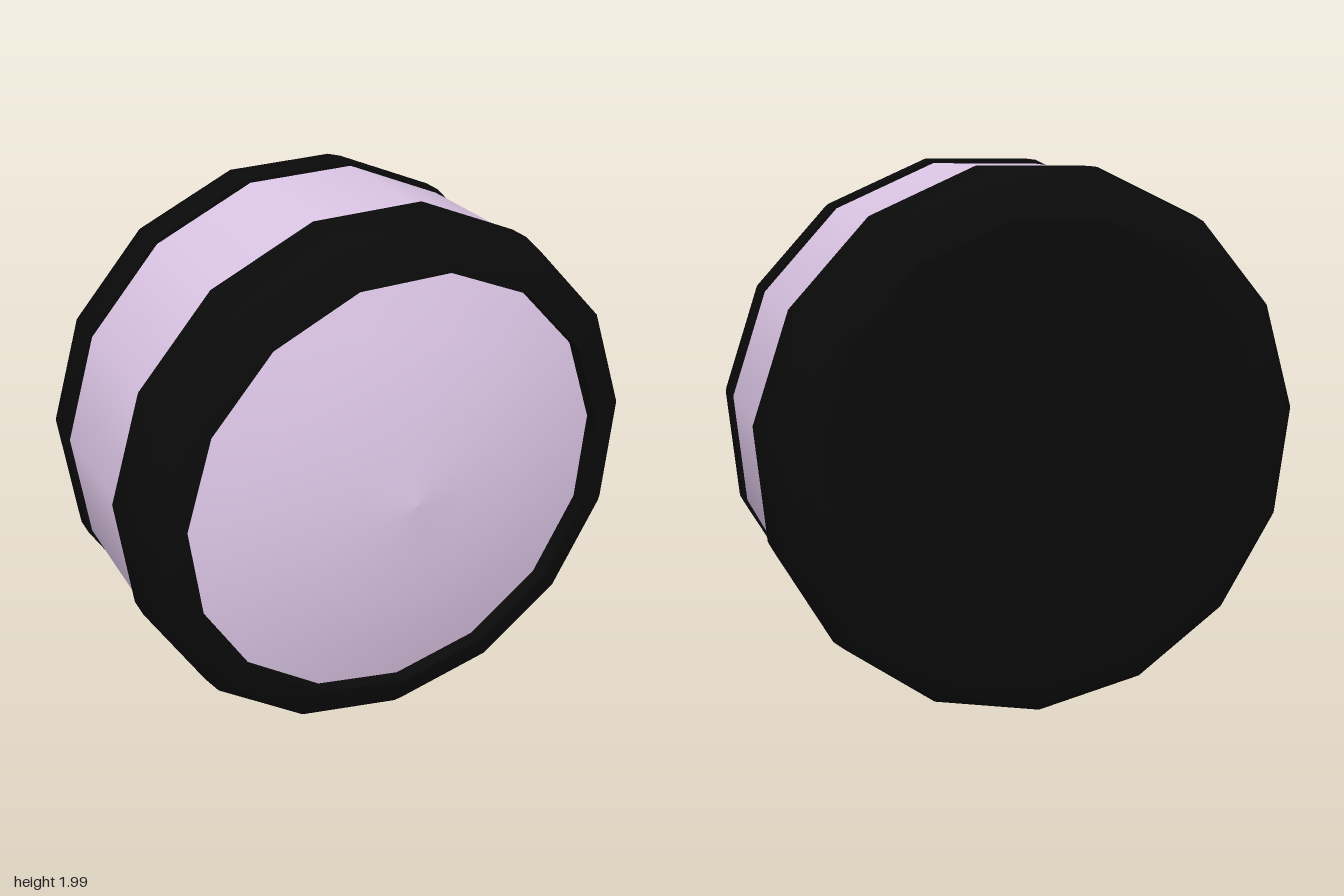
import * as THREE from 'three';

const SIDES = 15;
const RADIUS = 1.005;
const MID_Z = -0.044; // plane halfway between the two rims

// Lathe around the z axis; profile points are [radius, z] in ascending z on outer faces
function turned(name, profile, material) {
  const points = profile.map(([r, z]) => new THREE.Vector2(r, z));
  const geometry = new THREE.LatheGeometry(points, SIDES, THREE.MathUtils.degToRad(1));
  geometry.rotateX(Math.PI / 2);
  const mesh = new THREE.Mesh(geometry, material);
  mesh.name = name;
  return mesh;
}

// Same profile reflected to the other end, reversed so faces stay outward
const mirrored = (profile) => profile.map(([r, z]) => [r, 2 * MID_Z - z]).reverse();

export function createModel() {
  const model = new THREE.Group();
  model.name = 'roundButton';
  const lilac = new THREE.MeshStandardMaterial({ color: 0xdcc6e6 });
  const black = new THREE.MeshStandardMaterial({ color: 0x0a0a0a });

  // Rounded outer rim and the small step down to the band
  const rim = [[RADIUS, 0.22], [RADIUS, 0.31], [0.987, 0.41], [0.933, 0.465], [0.835, 0.487]];
  const step = [[0.95, 0.22], [RADIUS, 0.22]];
  const body = new THREE.Group();
  body.name = 'body';
  body.add(
    turned('frontRim', rim, black),
    turned('frontRimStep', step, black),
    turned('frontRimInnerWall', [[0.835, 0.487], [0.835, 0.42]], black),
    turned('backRim', mirrored(rim), black),
    turned('backRimStep', mirrored(step), black),
    turned('backPlate', [[0, -0.575], [0.835, -0.575]], black),
    turned('middleBand', [[0.99, -0.31], [0.99, 0.22]], lilac),
  );

  // Shallow domed face set inside the front rim
  const dome = turned('domedFace', [[0.835, 0.43], [0.64, 0.485], [0.43, 0.53], [0.22, 0.555], [0, 0.575]], lilac);

  model.add(body, dome);
  model.position.y = RADIUS;
  const root = new THREE.Group();
  root.name = 'model';
  root.add(model);
  return root;
}
